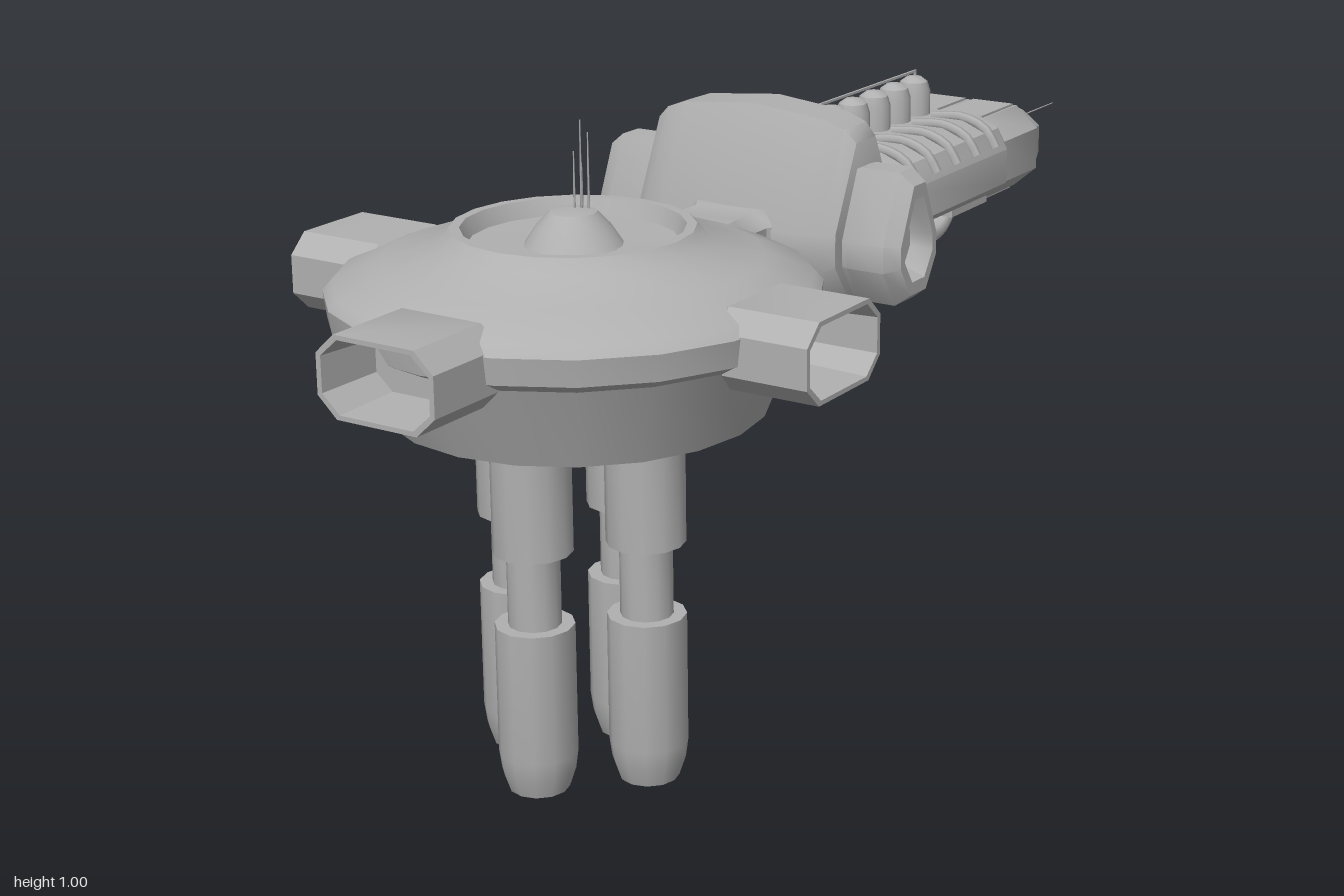
import * as THREE from 'three';
import { toCreasedNormals } from 'three/addons/utils/BufferGeometryUtils.js';

const hull = new THREE.MeshStandardMaterial({ color: 0xb0b0b0 });
hull.name = 'hullGrey';

// Closed loft along +z; each section is [z, scaleX, scaleY] of an anticlockwise profile
function loft(profile, sections, crease = 0.6) {
  const n = profile.length, pos = [], idx = [];
  for (const [z, sx, sy] of sections) for (const [x, y] of profile) pos.push(x * sx, y * sy, z);
  const last = (sections.length - 1) * n;
  for (let i = 0; i < last; i += n) {
    for (let j = 0; j < n; j++) {
      const k = (j + 1) % n;
      idx.push(i + j, i + k, i + n + k, i + j, i + n + k, i + n + j);
    }
  }
  for (let j = 1; j < n - 1; j++) idx.push(0, j + 1, j, last, last + j, last + j + 1);
  const g = new THREE.BufferGeometry();
  g.setAttribute('position', new THREE.Float32BufferAttribute(pos, 3));
  g.setIndex(idx);
  return toCreasedNormals(g, crease);
}

function lathe(points, segments, crease = 0.6) {
  const g = new THREE.LatheGeometry(points.map(p => new THREE.Vector2(...p)), segments);
  return toCreasedNormals(g, crease);
}

// Mirror the right half of an outline (listed bottom to top) into a full loop
const mirrored = half => [...half, ...[...half].reverse().map(([x, y]) => [-x, y])];

const OCTAGON = mirrored([[0.68, -1], [1, -0.5], [1, 0.5], [0.68, 1]]);
const HUB = mirrored([[0.055, -0.17], [0.125, -0.07], [0.125, 0], [0.04, 0.18]]);
const BODY = mirrored([[0.15, 0.69], [0.165, 0.705], [0.165, 0.765], [0.145, 0.8], [0.1, 0.818]]);

export function createModel() {
  const root = new THREE.Group();
  const add = (name, geo, x = 0, y = 0, z = 0, ry = 0, parent = root) => {
    const m = new THREE.Mesh(geo, hull);
    m.name = name;
    m.position.set(x, y, z);
    m.rotation.y = ry;
    parent.add(m);
    return m;
  };
  const box = (name, w, h, d, x, y, z) => add(name, new THREE.BoxGeometry(w, h, d), x, y, z);
  const spike = (name, len, x, y, z, alongZ) => {
    const g = new THREE.CylinderGeometry(0.001, 0.002, len, 5).translate(0, len / 2, 0);
    if (alongZ) g.rotateX(-Math.PI / 2);
    add(name, g, x, y, z);
  };

  // Saucer with a recessed dish and a central cone
  const CZ = 0.545;
  add('saucer', lathe([[0, 0.575], [0.285, 0.575], [0.335, 0.7], [0.36, 0.715], [0.365, 0.755], [0.352, 0.77],
    [0.28, 0.8], [0.2, 0.824], [0.18, 0.845], [0.165, 0.845], [0.155, 0.82], [0, 0.815]], 20), 0, 0, CZ);
  add('dishCone', lathe([[0.078, 0.81], [0.055, 0.845], [0.035, 0.866], [0, 0.872]], 16), 0, 0, CZ);
  [[0.003, 0.09, 0], [0.008, 0.135, -0.01], [0.014, 0.115, -0.02], [0.006, 0.07, -0.015]]
    .forEach(([x, len, z]) => spike('antenna', len, x, 0.865, CZ + z));

  // Hollow docking arms on three sides
  const arm = loft(OCTAGON, [[0.25, 0.07, 0.045], [0.285, 0.072, 0.048], [0.31, 0.1, 0.06], [0.455, 0.1, 0.06],
    [0.455, 0.092, 0.053], [0.35, 0.085, 0.048]]);
  for (const turn of [-1, 0, 1]) add('dockingArm', arm, 0, 0.7275, CZ, turn * Math.PI / 2);

  // Four legs in a diamond: upper sleeve, strut and foot
  const sleeve = lathe([[0, 0.38], [0.06, 0.38], [0.06, 0.58]], 12);
  const strut = lathe([[0.04, 0.26], [0.04, 0.385]], 12);
  const foot = lathe([[0, 0.03], [0.028, 0.03], [0.03, 0], [0.046, 0], [0.056, 0.03], [0.06, 0.06],
    [0.06, 0.265], [0, 0.265]], 12);
  for (let i = 0; i < 4; i++) {
    const a = i * Math.PI / 2, leg = new THREE.Group();
    leg.name = 'leg';
    leg.position.set(0.119 * Math.sin(a), 0, CZ + 0.119 * Math.cos(a));
    add('legSleeve', sleeve, 0, 0, 0, 0, leg);
    add('legStrut', strut, 0, 0, 0, 0, leg);
    add('legFoot', foot, 0, 0, 0, 0, leg);
    root.add(leg);
  }

  // Neck between the saucer and the hub
  add('neck', loft(OCTAGON, [[0.08, 0.09, 0.045], [0.125, 0.09, 0.045], [0.14, 0.078, 0.042],
    [0.19, 0.078, 0.042], [0.21, 0.09, 0.045], [0.26, 0.09, 0.045]]), 0, 0.738, 0);

  // Crosswise hub with a recessed pod on each end
  add('hub', loft(HUB, [[-0.185, 0.75, 0.75], [-0.165, 0.86, 0.86], [-0.13, 0.93, 0.93], [0, 1, 1],
    [0.13, 0.93, 0.93], [0.165, 0.86, 0.86], [0.185, 0.75, 0.75]], 0.95), 0, 0.755, 0.015, Math.PI / 2);
  const pod = loft(HUB, [[0.16, 0.5, 0.55], [0.195, 0.56, 0.61], [0.26, 0.56, 0.61], [0.285, 0.46, 0.5],
    [0.285, 0.36, 0.38], [0.25, 0.28, 0.3]]);
  for (const s of [-1, 1]) add('hubPod', pod, 0, 0.742, 0.02, s * Math.PI / 2);

  // Sloping fin behind the hub, and the spine through the body
  const fin = new THREE.Shape([[0.02, 0.9], [0.035, 0.91], [0.06, 0.9], [0.11, 0.8], [0.13, 0.76], [0.02, 0.76]]
    .map(p => new THREE.Vector2(...p)));
  add('hubFin', new THREE.ExtrudeGeometry(fin, { depth: 0.08, bevelEnabled: false })
    .translate(0, 0, -0.04), 0, 0, 0, Math.PI / 2);
  box('spine', 0.18, 0.085, 0.5, 0, 0.74, -0.33);

  // Ribbed engine body with a row of domed tanks
  add('engineBody', loft(BODY, [[-0.53, 0.97, 1], [-0.52, 1, 1], [-0.155, 1, 1], [-0.145, 0.97, 1]]));
  const tank = lathe([[0.029, 0.79], [0.029, 0.86], [0.024, 0.876], [0.013, 0.884], [0, 0.886]], 12);
  const ribPath = s => new THREE.CatmullRomCurve3([[0.04, 0.818], [0.1, 0.822], [0.143, 0.805], [0.163, 0.775]]
    .map(([x, y]) => new THREE.Vector3(s * x, y, 0)));
  const ribs = [-1, 1].map(s => new THREE.TubeGeometry(ribPath(s), 8, 0.009, 6));
  for (let i = 0; i < 5; i++) {
    const z = -0.193 - i * 0.0715;
    add('tank', tank, 0, 0, z);
    for (const g of ribs) add('bodyRib', g, 0, 0, z);
  }
  box('cable', 0.004, 0.004, 0.41, 0, 0.893, -0.28);
  box('cableEnd', 0.004, 0.02, 0.004, 0, 0.885, -0.483);

  // Underside plates and pipes
  box('undersidePlate', 0.26, 0.03, 0.16, 0, 0.682, -0.22);
  box('undersidePlate', 0.26, 0.03, 0.13, 0, 0.682, -0.45);
  for (const s of [-1, 1]) {
    const path = new THREE.CatmullRomCurve3([[0.64, -0.04], [0.63, -0.1], [0.63, -0.3], [0.632, -0.42],
      [0.655, -0.455], [0.7, -0.475]].map(([y, z]) => new THREE.Vector3(s * 0.08, y, z)));
    add('undersidePipe', new THREE.TubeGeometry(path, 24, 0.017, 8));
  }

  // Tail block with an open rear, top and bottom panels, and sensor spikes
  add('tailBlock', loft(OCTAGON, [[0.55, 0.125, 0.065], [0.56, 0.135, 0.074], [0.7, 0.135, 0.074],
    [0.715, 0.125, 0.068], [0.77, 0.105, 0.05], [0.77, 0.085, 0.036], [0.71, 0.075, 0.03]]), 0, 0.728, 0, Math.PI);
  for (const s of [-1, 1]) {
    for (const y of [0.654, 0.802]) box('tailPanel', 0.08, 0.008, 0.12, s * 0.048, y, -0.632);
  }
  for (let i = 0; i < 12; i++) {
    const x = -0.045 + 0.09 * ((i * 5) % 12) / 11;
    const len = i === 4 ? 0.295 : 0.13 + 0.11 * ((i * 7) % 12) / 11;
    spike('sensorSpike', len, x, 0.713 + 0.03 * ((i * 11) % 5) / 4, -0.705, true);
  }
  return root;
}
